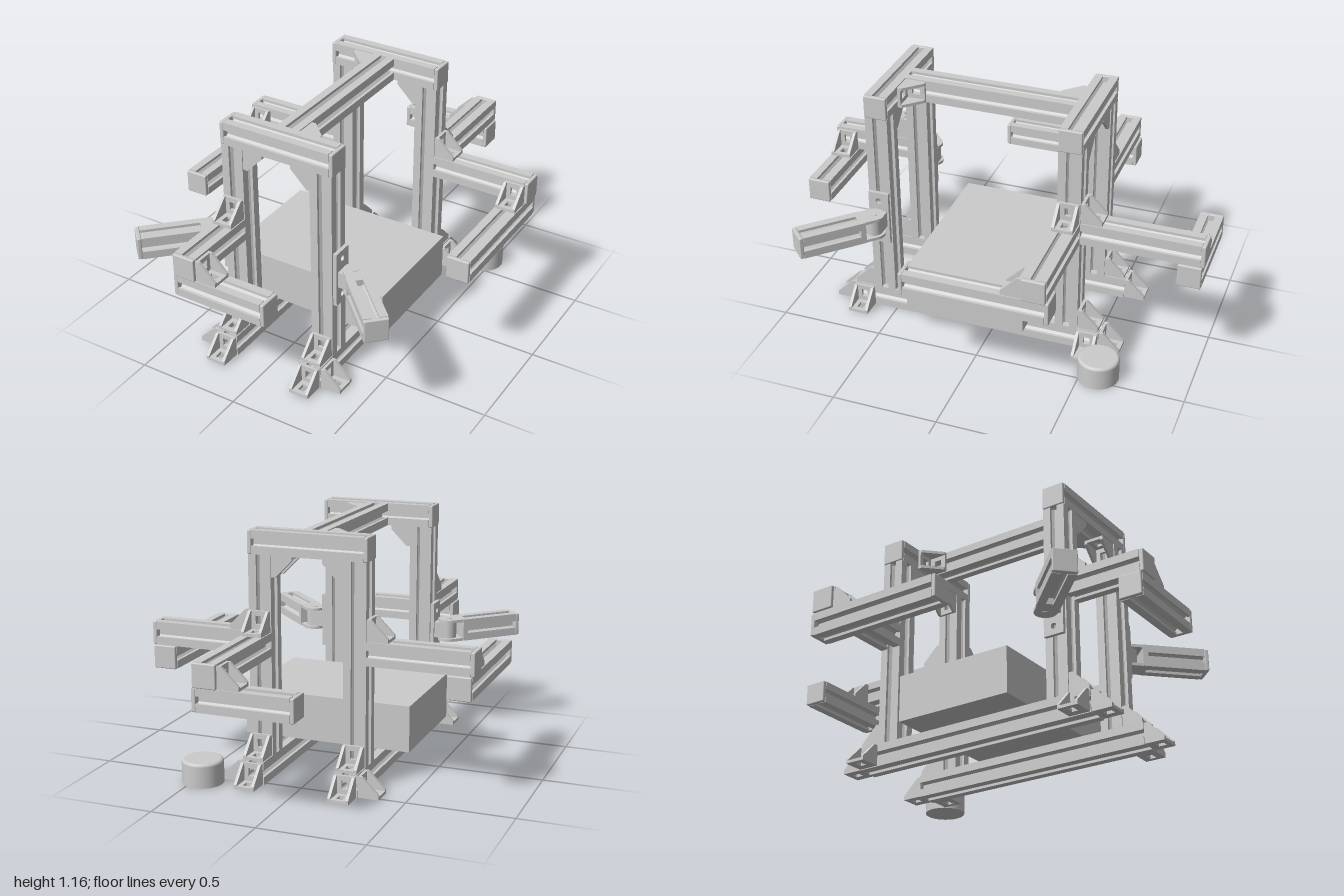
import * as THREE from 'three';
import { mergeGeometries } from 'three/addons/utils/BufferGeometryUtils.js';
import { RoundedBoxGeometry } from 'three/addons/geometries/RoundedBoxGeometry.js';

const W = 0.11, H = W / 2, CAP = 0.02;
const AXES = {
  x: new THREE.Vector3(1, 0, 0), y: new THREE.Vector3(0, 1, 0), z: new THREE.Vector3(0, 0, 1),
};
const material = new THREE.MeshStandardMaterial({ color: 0xcccccc });

function add(parent, name, geometry, x = 0, y = 0, z = 0) {
  const mesh = new THREE.Mesh(geometry, material);
  mesh.name = name;
  mesh.position.set(x, y, z);
  parent.add(mesh);
  return mesh;
}

const extrude = (shape, depth) =>
  new THREE.ExtrudeGeometry(shape, { depth, bevelEnabled: false, curveSegments: 12 });

// Square slotted section: one side repeated four times, with a centre bore
function slotSection() {
  const side = [[H, H], [0.017, H], [0.017, 0.042], [0.03, 0.042], [0.013, 0.024],
    [-0.013, 0.024], [-0.03, 0.042], [-0.017, 0.042], [-0.017, H]];
  const points = [];
  for (let i = 0; i < 4; i++) {
    for (const [x, y] of side) {
      points.push(new THREE.Vector2(x, y).rotateAround(new THREE.Vector2(), i * Math.PI / 2));
    }
  }
  const shape = new THREE.Shape(points);
  shape.holes.push(new THREE.Path().absarc(0, 0, 0.015, 0, Math.PI * 2, true));
  return shape;
}
const section = slotSection();
const capGeometry = new RoundedBoxGeometry(W, W, CAP, 2, 0.005);

// Beam running along an axis from a to b, centred on (x, y, z) in the other two
function beam(parent, name, axis, a, b, center, capA = false, capB = false) {
  const group = new THREE.Group();
  group.name = name;
  const start = a + (capA ? CAP : 0), end = b - (capB ? CAP : 0);
  add(group, 'extrusion', extrude(section, end - start), 0, 0, start);
  if (capA) add(group, 'endCap', capGeometry, 0, 0, a + CAP / 2);
  if (capB) add(group, 'endCap', capGeometry, 0, 0, b - CAP / 2);
  group.quaternion.setFromUnitVectors(AXES.z, AXES[axis]);
  group.position.set(...center);
  parent.add(group);
  return group;
}

// Corner bracket: two holed plates joined by two sloping cheeks
function bracketGeometry() {
  const size = 0.1, t = 0.014, half = 0.05;
  const cheek = new THREE.Shape([[0, 0], [size, 0], [size, 0.02], [0.02, size], [0, size]]
    .map(p => new THREE.Vector2(...p)));
  const plate = new THREE.Shape([[0, -half], [size, -half], [size, half], [0, half]]
    .map(p => new THREE.Vector2(...p)));
  plate.holes.push(new THREE.Path([[0.037, -0.015], [0.037, 0.015], [0.077, 0.015], [0.077, -0.015]]
    .map(p => new THREE.Vector2(...p))));
  const foot = extrude(plate, t).rotateX(-Math.PI / 2);
  const back = extrude(plate, t).rotateX(-Math.PI / 2).rotateZ(Math.PI / 2).translate(t, 0, 0);
  return mergeGeometries([
    extrude(cheek, t).translate(0, 0, -half), extrude(cheek, t).translate(0, 0, half - t), foot, back,
  ]);
}
const bracketShape = bracketGeometry();

// Bracket with its inner corner at pos and legs along directions a and b
function bracket(parent, name, pos, a, b) {
  const va = new THREE.Vector3(...a), vb = new THREE.Vector3(...b);
  const mesh = add(parent, name, bracketShape, ...pos);
  mesh.quaternion.setFromRotationMatrix(
    new THREE.Matrix4().makeBasis(va, vb, va.clone().cross(vb)));
}

// Rounded tab lying flat, its round end at the origin and its tail toward +z
function tab(radius, length, thickness) {
  const shape = new THREE.Shape();
  shape.moveTo(-radius, -length);
  shape.lineTo(radius, -length);
  shape.lineTo(radius, 0);
  shape.absarc(0, 0, radius, 0, Math.PI, false);
  return extrude(shape, thickness).rotateX(-Math.PI / 2).translate(0, -thickness / 2, 0);
}

// Swinging arm on a pivot, with its mount plate on the side of a front post
function hinge(parent, s) {
  const y = 0.53, px = 0.365 * s, pz = 0.557;
  const mount = new THREE.Group();
  mount.name = 'hingeMount';
  parent.add(mount);
  const plate = new THREE.Shape([[-0.05, -0.135], [0.05, -0.135], [0.05, 0.135], [-0.05, 0.135]]
    .map(p => new THREE.Vector2(...p)));
  for (const h of [-0.093, 0.093]) {
    plate.holes.push(new THREE.Path().absarc(0, h, 0.014, 0, Math.PI * 2, true));
  }
  add(mount, 'mountPlate', extrude(plate, 0.018).translate(0, 0, -0.009).rotateY(Math.PI / 2),
    0.294 * s, y, pz);
  add(mount, 'hingeTongue', tab(0.04, 0.066, 0.078), px, y, pz).rotation.y = -s * Math.PI / 2;

  const arm = new THREE.Group();
  arm.name = 'swingArm';
  arm.position.set(px, y, pz);
  arm.rotation.y = s * Math.PI / 4;
  parent.add(arm);
  for (const k of [-1, 1]) add(arm, 'forkPlate', tab(0.052, 0.075, 0.014), 0, k * 0.048, 0);
  add(arm, 'forkBase', new THREE.BoxGeometry(W, W, 0.025), 0, 0, 0.07);
  add(arm, 'hingePin', new THREE.CylinderGeometry(0.016, 0.016, 0.114, 20));
  beam(arm, 'armBeam', 'z', 0.08, 0.38, [0, 0, 0], false, true);
}

export function createModel() {
  const root = new THREE.Group();
  root.name = 'frameRobot';
  const PX = 0.228, FZ = 0.557, BZ = -0.37, UP = [0, 1, 0];

  for (const s of [-1, 1]) {
    const x = s * PX, out = [s, 0, 0];
    // Base rails and their floor brackets
    beam(root, 'baseRail', 'z', -0.53, 0.718, [x, H, 0]);
    for (const [pz, d, end] of [[FZ, 1, 0.718], [BZ, -1, -0.53]]) {
      const face = pz + d * H, fwd = [0, 0, d];
      beam(root, 'post', 'y', W, 1.05, [x, 0, pz]);
      bracket(root, 'footBracket', [x, 0.004, end], fwd, UP);
      bracket(root, 'sideFootBracket', [x + s * H, 0.004, face + d * 0.052], out, UP);
      bracket(root, 'postBracket', [x, W, face], fwd, UP);
      bracket(root, 'topBracket', [x - s * H, 1.05, pz], [-s, 0, 0], [0, -1, 0]);
    }
    // Outer cross arms with forward reaching side arms hung below
    if (s > 0) beam(root, 'crossArm', 'x', 0.283, 0.78, [0, 0.64, BZ], false, true);
    else beam(root, 'crossArm', 'x', -0.78, -0.283, [0, 0.64, BZ], true, false);
    beam(root, 'sideArm', 'z', -0.438, 0.26, [s * 0.715, 0.53, 0], true, true);
    bracket(root, 'crossArmBracket', [s * 0.283, 0.695, BZ], out, UP);
    bracket(root, 'sideArmBracket', [s * 0.715, 0.585, BZ + H], [0, 0, 1], UP);
    hinge(root, s);
  }

  // Top rails and the spine joining them
  for (const z of [FZ, BZ]) beam(root, 'topRail', 'x', -0.288, 0.288, [0, 1.105, z], true, true);
  beam(root, 'spine', 'z', BZ + H, FZ - H, [0, 1.105, 0]);
  bracket(root, 'spineBracket', [H, 1.105, FZ - H], [1, 0, 0], [0, 0, -1]);
  bracket(root, 'spineBracket', [-H, 1.105, BZ + H], [-1, 0, 0], [0, 0, 1]);

  // Bumper arms: front on the right post, back on the left post
  beam(root, 'frontReach', 'z', FZ + H, 1, [-PX, 0.64, 0], false, true);
  beam(root, 'backReach', 'z', -1, BZ - H, [PX, 0.64, 0], true, false);
  for (const [s, face] of [[1, FZ + H], [-1, BZ - H]]) {
    const z = s * 0.935, x = -s * PX;
    beam(root, 'bumper', 'x', s > 0 ? -0.293 : -0.178, s > 0 ? 0.178 : 0.293, [0, 0.53, z], true, true);
    bracket(root, 'bumperBracket', [x + s * H, 0.585, z], [s, 0, 0], UP);
    bracket(root, 'reachBracket', [x, 0.695, face], [0, 0, s], UP);
  }

  // Control box resting on the base rails
  add(root, 'controlBox', new THREE.BoxGeometry(0.824, 0.222, 0.585), -0.002, 0.236, 0.093);

  // Loose round puck with softened top edge
  const r = 0.097, h = 0.115, e = 0.015;
  const profile = [new THREE.Vector2(0, 0), new THREE.Vector2(r, 0), new THREE.Vector2(r, 0)];
  for (let i = 0; i <= 5; i++) {
    const a = i / 5 * Math.PI / 2;
    profile.push(new THREE.Vector2(r - e + e * Math.cos(a), h - e + e * Math.sin(a)));
  }
  profile.push(new THREE.Vector2(0, h));
  add(root, 'puck', new THREE.LatheGeometry(profile, 40), 0.455, 0, -0.583);

  return root;
}
